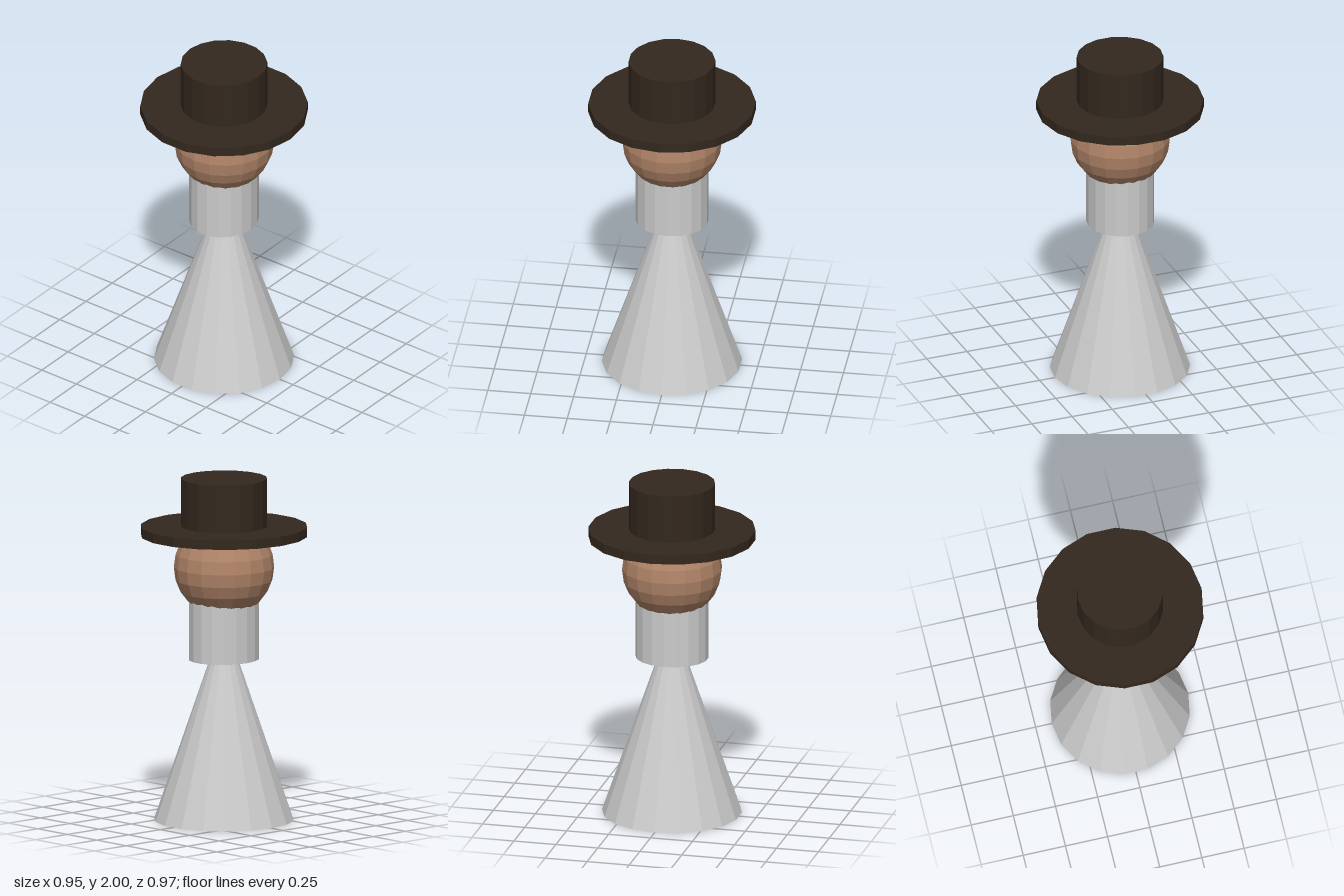
import * as THREE from 'three';

const SIDES = 18;

export function createModel() {
  const model = new THREE.Group();
  const material = (color) => new THREE.MeshStandardMaterial({ color, flatShading: true });
  const grey = material(0xcccccc);
  const skin = material(0xb08468);
  const felt = material(0x33281e);

  const add = (name, geometry, mat, y) => {
    const mesh = new THREE.Mesh(geometry, mat);
    mesh.name = name;
    mesh.position.y = y;
    model.add(mesh);
    return mesh;
  };

  // Upright cylinder spanning two heights
  const column = (name, radius, bottom, top, mat) =>
    add(name, new THREE.CylinderGeometry(radius, radius, top - bottom, SIDES), mat, (bottom + top) / 2);

  // Conical skirt, its tip hidden inside the torso
  const skirtHeight = 1.18;
  add('skirt', new THREE.ConeGeometry(0.405, skirtHeight, SIDES), grey, skirtHeight / 2);

  // Slightly oval torso, its top hidden inside the head
  const torso = column('torso', 1, 0.94, 1.33, grey);
  torso.scale.set(0.212, 1, 0.195);

  // Faceted ball head
  add('head', new THREE.SphereGeometry(0.29, SIDES, 12), skin, 1.48);

  // Hat
  column('hatBrim', 0.484, 1.665, 1.72, felt);
  column('hatCrown', 0.25, 1.7, 2, felt);

  return model;
}
